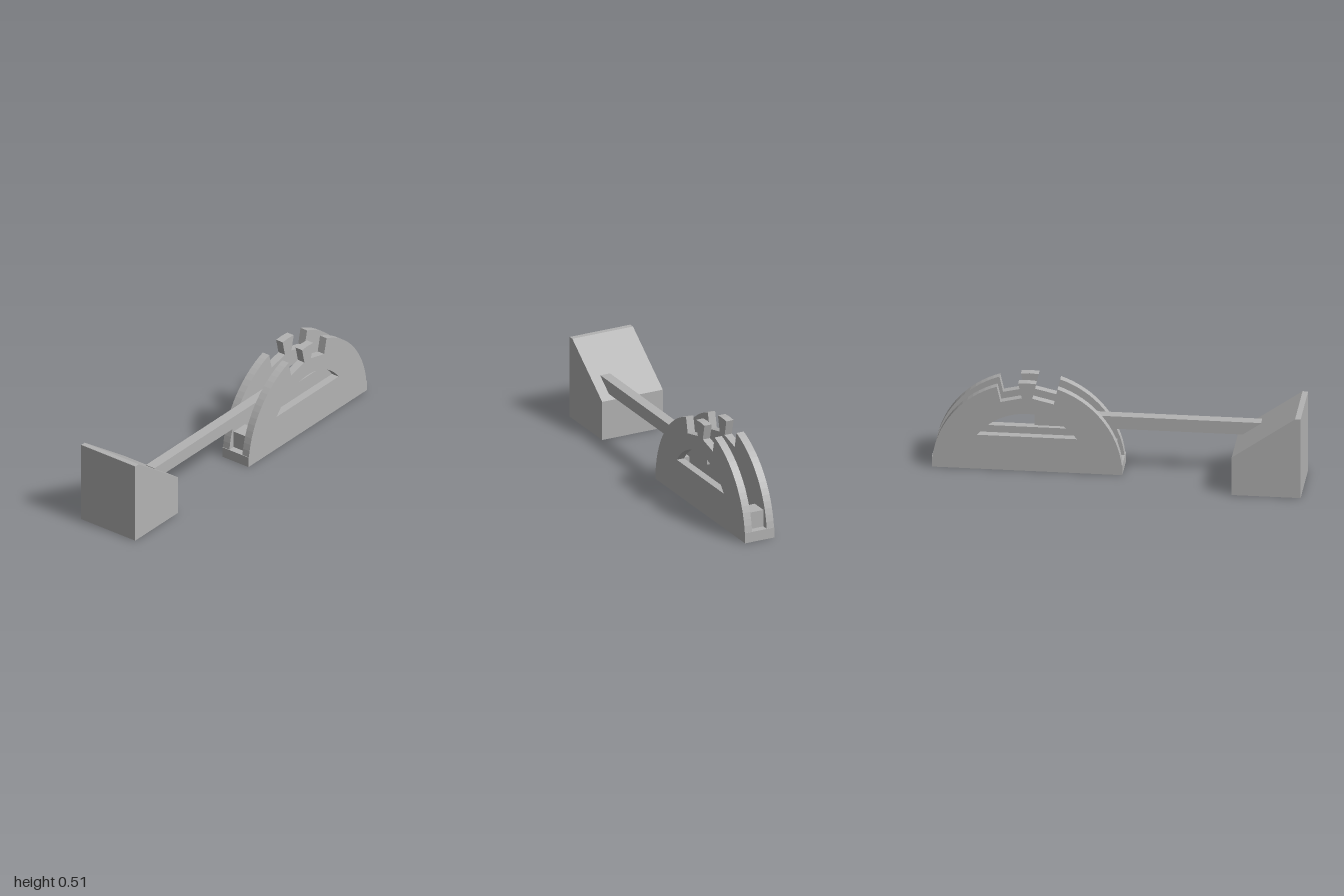
import * as THREE from 'three';

export function createModel() {
  const model = new THREE.Group();
  const grey = new THREE.MeshStandardMaterial({ color: 0xb3b3b3 });
  grey.name = 'plain grey';

  const add = (name, geometry) => {
    const mesh = new THREE.Mesh(geometry, grey);
    mesh.name = name;
    model.add(mesh);
  };
  // Box given by its limits on each axis
  const box = (name, x0, x1, y0, y1, z0, z1) => add(name,
    new THREE.BoxGeometry(x1 - x0, y1 - y0, z1 - z0)
      .translate((x0 + x1) / 2, (y0 + y1) / 2, (z0 + z1) / 2));
  // Flat outline extruded from z0 to z1
  const slab = (name, shape, z0, z1) => add(name,
    new THREE.ExtrudeGeometry(shape, { depth: z1 - z0, bevelEnabled: false }).translate(0, 0, z0));
  const outline = (pts) => pts.map(([x, y]) => new THREE.Vector2(x, y));

  // Sloped block
  slab('slopedBlock', new THREE.Shape(outline([
    [-1, 0], [-0.63, 0], [-0.63, 0.22], [-0.97, 0.46], [-1, 0.46],
  ])), -0.183, 0.183);

  // Bar reaching from the block into the slotted arch
  box('bar', -0.76, 0.455, 0.243, 0.315, 0.067, 0.125);

  // Half-round plates with two notches, a tooth and an arched window
  const cx = 0.489, radius = 0.511, floorY = 0.058;
  const arc = (r, a0, a1, n) => Array.from({ length: n + 1 }, (_, i) => {
    const a = a0 + (a1 - a0) * i / n;
    return [cx + r * Math.cos(a), r * Math.sin(a)];
  });
  const mirror = (pts) => pts.map(([x, y]) => [2 * cx - x, y]).reverse();
  const start = Math.asin(floorY / radius);
  const notchEdge = Math.acos(0.163 / radius);
  const rightHalf = [
    ...arc(radius, start, notchEdge, 16),
    [cx + 0.143, 0.396], [cx + 0.028, 0.423], [cx + 0.048, 0.509], [cx, 0.512],
  ];
  const plate = new THREE.Shape(outline([...rightHalf, ...mirror(rightHalf.slice(0, -1))]));
  const windowR = 0.333, sill = Math.asin(0.198 / windowR);
  plate.holes.push(new THREE.Path(outline(arc(windowR, sill, Math.PI - sill, 20))));
  slab('backPlate', plate, 0.008, 0.052);
  slab('frontPlate', plate, 0.14, 0.184);

  // Base joining the plates, and a spacer near each end of the slot
  box('archBase', cx - radius, cx + radius, 0, floorY, 0.008, 0.184);
  for (const side of [-1, 1]) {
    const x = cx + side * 0.422;
    box(side < 0 ? 'rightSpacer' : 'leftSpacer', x - 0.049, x + 0.049, floorY, 0.153, 0.052, 0.14);
  }

  return model;
}
